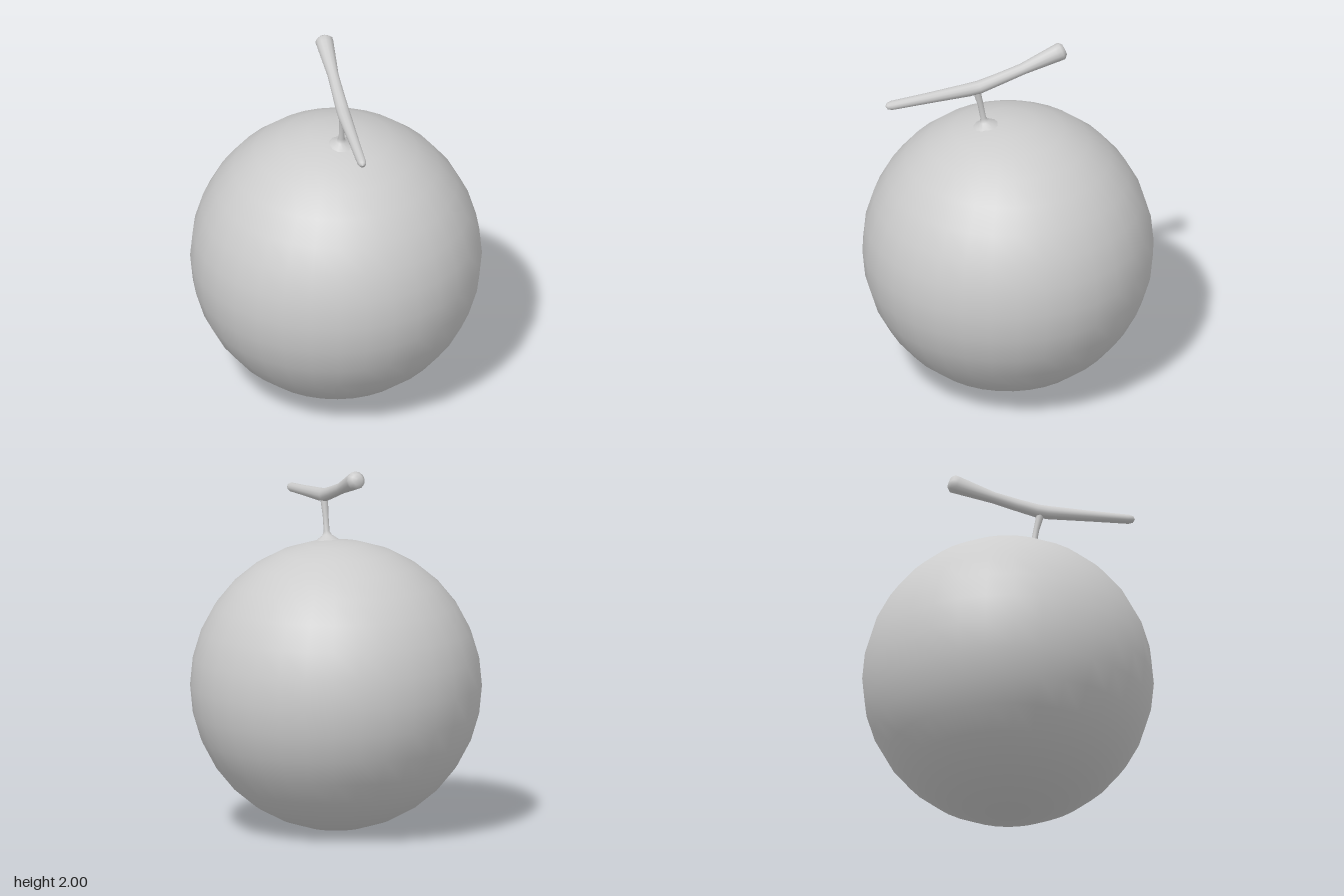
import * as THREE from 'three';

// Smooth tube in the x = 0 plane; each ring is [z, y, radius], ends close at radius 0
function sweep(rings, sides) {
  const pos = [], index = [];
  rings.forEach(([z, y, r], i) => {
    const a = rings[Math.max(i - 1, 0)], b = rings[Math.min(i + 1, rings.length - 1)];
    const len = Math.hypot(b[0] - a[0], b[1] - a[1]);
    const tz = (b[0] - a[0]) / len, ty = (b[1] - a[1]) / len;
    for (let j = 0; j < sides; j++) {
      const t = (j / sides) * Math.PI * 2;
      const u = Math.sin(t) * r;
      pos.push(Math.cos(t) * r, y + u * tz, z - u * ty);
      if (i < rings.length - 1) {
        const p = i * sides + j, q = i * sides + (j + 1) % sides;
        index.push(p, q, p + sides, q, q + sides, p + sides);
      }
    }
  });
  const g = new THREE.BufferGeometry();
  g.setAttribute('position', new THREE.Float32BufferAttribute(pos, 3));
  g.setIndex(index);
  g.computeVertexNormals();
  return g;
}

export function createModel() {
  const group = new THREE.Group();
  const grey = new THREE.MeshStandardMaterial({ color: 0xcccccc });
  grey.name = 'plain grey';
  const add = (name, geometry) => {
    const mesh = new THREE.Mesh(geometry, grey);
    mesh.name = name;
    group.add(mesh);
    return mesh;
  };

  // Round fruit body
  add('fruit', new THREE.SphereGeometry(0.786, 32, 16)).position.y = 0.788;

  // Thin stalk with a flared foot, leaning forward into the branch
  add('stalk', sweep([
    [0.125, 1.545, 0.09], [0.128, 1.565, 0.055], [0.133, 1.585, 0.026],
    [0.138, 1.605, 0.016], [0.153, 1.69, 0.016], [0.17, 1.76, 0.02], [0.175, 1.79, 0.022],
  ], 12));

  // Bent branch, thicker and rising towards the back
  add('branch', sweep([
    [-0.318, 1.963, 0], [-0.316, 1.962, 0.03], [-0.298, 1.955, 0.049], [-0.27, 1.945, 0.047],
    [-0.08, 1.876, 0.031], [0.05, 1.834, 0.033], [0.16, 1.801, 0.036], [0.22, 1.793, 0.036],
    [0.45, 1.776, 0.029], [0.65, 1.762, 0.025], [0.674, 1.761, 0.018], [0.684, 1.76, 0],
  ], 12));

  return group;
}
